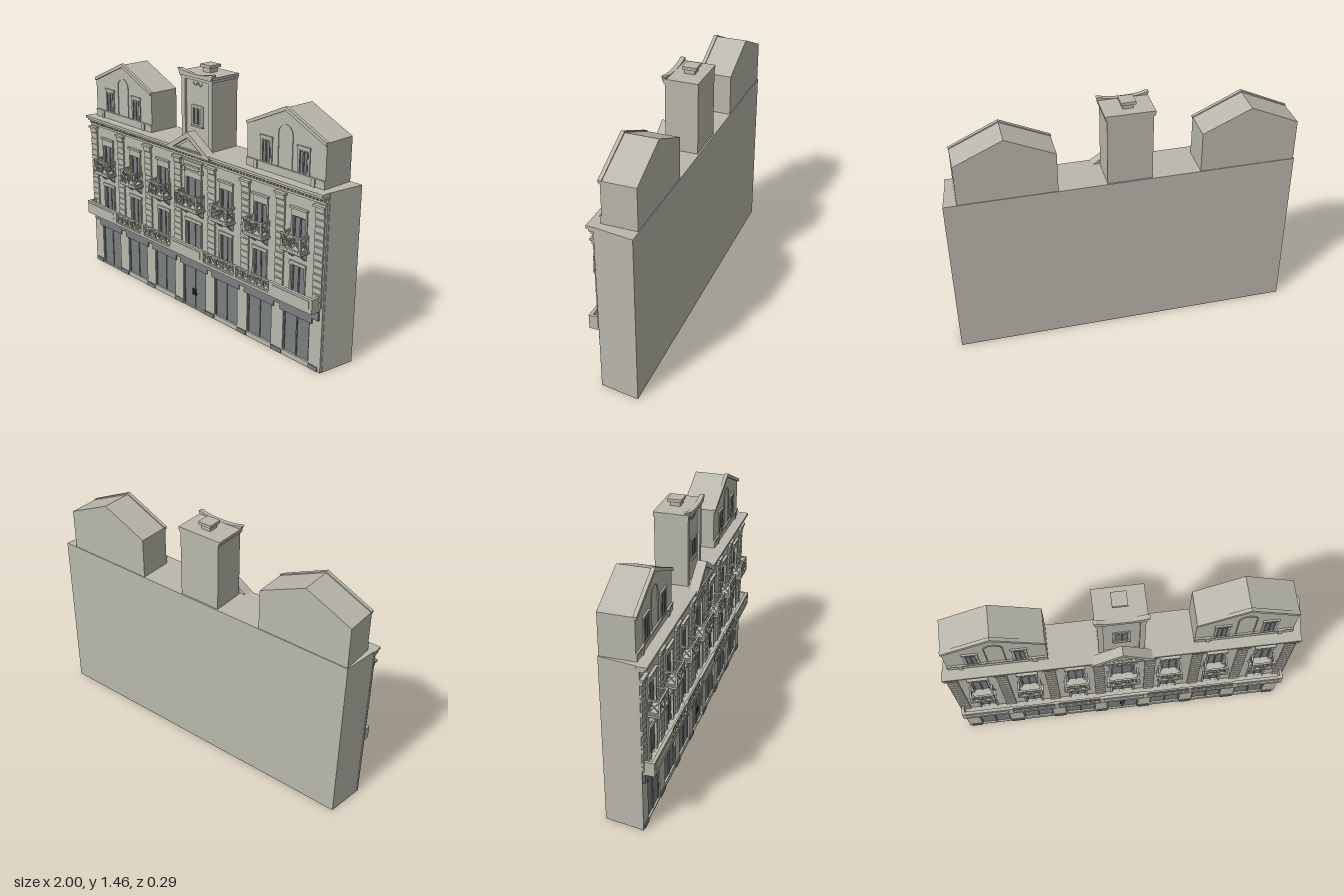
import * as THREE from 'three';

const stone = new THREE.MeshStandardMaterial({ color: 0xbab8ac });
stone.name = 'stone';
const glass = new THREE.MeshStandardMaterial({ color: 0x7a7e7e });
glass.name = 'greyGlass';
const iron = new THREE.MeshStandardMaterial({ color: 0x303232 });
iron.name = 'darkIron';

const MID = -0.017; // centre line of the facade
const WALL = 0.077; // front plane of the wall
const BAYS = [-0.824, -0.551, -0.284, MID, 0.253, 0.518, 0.791];
const PIERS = [-0.963, -0.69, -0.422, -0.15, 0.139, 0.406, 0.663, 0.93];

function add(parent, name, geometry, material = stone) {
  const mesh = new THREE.Mesh(geometry, material);
  mesh.name = name;
  parent.add(mesh);
  return mesh;
}

// box given by its limits
function box(parent, name, x0, x1, y0, y1, z0, z1, material = stone) {
  const mesh = add(parent, name, new THREE.BoxGeometry(x1 - x0, y1 - y0, z1 - z0), material);
  mesh.position.set((x0 + x1) / 2, (y0 + y1) / 2, (z0 + z1) / 2);
  return mesh;
}

function group(parent, name, x = 0, y = 0, z = 0) {
  const g = new THREE.Group();
  g.name = name;
  g.position.set(x, y, z);
  parent.add(g);
  return g;
}

const poly = (pts) => new THREE.Shape(pts.map(([x, y]) => new THREE.Vector2(x, y)));
const rect = (x0, x1, y0, y1) => poly([[x0, y0], [x1, y0], [x1, y1], [x0, y1]]);

// shape in the xy plane, pushed from z0 to z1
function slab(parent, name, shape, z0, z1, material = stone) {
  const geo = new THREE.ExtrudeGeometry(shape, { depth: z1 - z0, bevelEnabled: false, curveSegments: 10 });
  geo.translate(0, 0, z0);
  return add(parent, name, geo, material);
}

// balustrade panel with crossed bars, centred on its own x axis
function lattice(parent, width, y0, y1, cells, x = 0, z = 0, turn = 0) {
  const g = group(parent, 'latticeRailing', x, 0, z);
  g.rotation.y = turn;
  const h = width / 2, t = 0.005, step = width / cells;
  box(g, 'topRail', -h, h, y1 - 0.009, y1, -t, t);
  box(g, 'bottomRail', -h, h, y0, y0 + 0.008, -t, t);
  const len = Math.hypot(step, y1 - y0 - 0.016), angle = Math.atan2(y1 - y0 - 0.016, step);
  for (let i = 0; i <= cells; i++) {
    const px = -h + i * step;
    box(g, 'post', px - 0.003, px + 0.003, y0, y1, -t, t);
    if (i === cells) break;
    for (const s of [-1, 1]) {
      const bar = add(g, 'crossBar', new THREE.BoxGeometry(len, 0.005, 0.006));
      bar.position.set(px + step / 2, (y0 + y1) / 2, 0);
      bar.rotation.z = s * angle;
    }
  }
}

// glazed opening: pane, frame bars and optional raised stone surround
function glazing(parent, x, half, y0, y1, z, surround) {
  const g = group(parent, 'window', x);
  box(g, 'pane', -half, half, y0, y1, z - 0.004, z, glass);
  for (const s of [-1, 0, 1]) {
    const c = s * (half - 0.004);
    box(g, 'frameBar', c - 0.004, c + 0.004, y0, y1, z, z + 0.005, glass);
  }
  box(g, 'frameHead', -half, half, y1 - 0.008, y1, z, z + 0.005, glass);
  if (surround) {
    const s = rect(-half - 0.01, half + 0.01, y0 - 0.01, y1 + 0.012);
    s.holes.push(rect(-half, half, y0, y1));
    slab(g, 'surround', s, z - 0.002, surround);
  }
}

function balcony(parent, x, half) {
  const g = group(parent, 'balcony', x);
  box(g, 'balconySlab', -half - 0.008, half + 0.008, 0.648, 0.66, WALL, 0.144);
  box(g, 'slabMoulding', -half, half, 0.64, 0.648, WALL, 0.135);
  lattice(g, half * 2, 0.66, 0.745, half > 0.08 ? 3 : 2, 0, 0.138);
  for (const s of [-1, 1]) {
    lattice(g, 0.061, 0.66, 0.745, 1, s * (half - 0.005), 0.108, Math.PI / 2);
    // curved bracket below the slab
    const c = new THREE.Shape();
    c.moveTo(-WALL, 0.64);
    c.lineTo(-0.13, 0.64);
    c.quadraticCurveTo(-0.1, 0.625, -WALL, 0.598);
    const holder = group(g, 'bracket', s * (half - 0.022));
    holder.rotation.y = Math.PI / 2;
    slab(holder, 'corbel', c, -0.012, 0.012);
  }
}

function atticHouse(parent, x) {
  const g = group(parent, 'atticHouse', x);
  const w = 0.272, eave = 1.238, ridge = 1.362;
  slab(g, 'houseBody', poly([[-w, 0.998], [w, 0.998], [w, eave], [0, ridge], [-w, eave]]), -0.14, 0.05);
  slab(g, 'gableTrim', poly([[-w, eave - 0.014], [0, ridge - 0.014], [w, eave - 0.014],
    [w + 0.003, eave + 0.004], [0, ridge + 0.008], [-w - 0.003, eave + 0.004]]), 0.04, 0.06);
  box(g, 'baseLedge', -w, w, 0.998, 1.04, 0.05, 0.056);
  box(g, 'baseLedgeCap', -w, w, 1.036, 1.045, 0.05, 0.06);
  for (const s of [-1, 1]) {
    glazing(g, s * 0.129, 0.031, 1.05, 1.17, 0.053, 0.056);
    box(g, 'windowHood', s * 0.129 - 0.045, s * 0.129 + 0.045, 1.182, 1.19, 0.05, 0.06);
    box(g, 'ledgePost', s * 0.2 - 0.012, s * 0.2 + 0.012, 1, 1.045, 0.05, 0.063);
  }
  // blind arch between the windows
  const arch = (r) => {
    const p = new THREE.Shape();
    p.moveTo(-r, 1.045);
    p.lineTo(r, 1.045);
    p.lineTo(r, 1.225);
    p.absarc(0, 1.225, r, 0, Math.PI, false);
    p.lineTo(-r, 1.045);
    return p;
  };
  const ring = arch(0.052);
  ring.holes.push(arch(0.046));
  slab(g, 'blindArch', ring, 0.05, 0.054);
}

function tower(parent) {
  const g = group(parent, 'tower', MID);
  box(g, 'towerBody', -0.126, 0.126, 0.998, 1.39, -0.135, 0.042);
  for (const s of [-1, 1]) {
    box(g, 'cornerPilaster', s * 0.111 - 0.015, s * 0.111 + 0.015, 0.998, 1.39, 0.042, 0.054);
    const swag = add(g, 'swag', new THREE.TorusGeometry(0.016, 0.003, 5, 10, Math.PI));
    swag.rotation.z = Math.PI;
    swag.position.set(s * 0.02, 1.37, 0.044);
  }
  box(g, 'panelHead', -0.126, 0.126, 1.383, 1.395, 0.03, 0.056);
  glazing(g, 0, 0.037, 1.135, 1.23, 0.045, 0.049);
  box(g, 'windowSill', -0.048, 0.048, 1.118, 1.127, 0.042, 0.056);
  box(g, 'roofSlab', -0.132, 0.132, 1.39, 1.405, -0.137, 0.058);
  box(g, 'roofTop', -0.138, 0.138, 1.405, 1.419, -0.137, 0.06);
  // front crest with upturned corners
  const crest = new THREE.Shape();
  crest.moveTo(-0.125, 1.4);
  crest.lineTo(0.125, 1.4);
  crest.lineTo(0.145, 1.435);
  crest.lineTo(0.128, 1.437);
  crest.quadraticCurveTo(0.09, 1.42, 0, 1.42);
  crest.quadraticCurveTo(-0.09, 1.42, -0.128, 1.437);
  crest.lineTo(-0.145, 1.435);
  slab(g, 'roofCrest', crest, 0.04, 0.066);
  box(g, 'capNeck', -0.028, 0.028, 1.419, 1.445, -0.078, -0.02);
  box(g, 'capTop', -0.041, 0.041, 1.445, 1.462, -0.09, -0.009);
}

function pediment(parent) {
  const g = group(parent, 'pediment', MID);
  const frame = poly([[-0.178, 0.978], [0.178, 0.978], [0.178, 0.99], [0, 1.105], [-0.178, 0.99]]);
  frame.holes.push(poly([[-0.125, 0.995], [0.125, 0.995], [0, 1.073]]));
  slab(g, 'pedimentFrame', frame, 0.068, 0.125);
  slab(g, 'tympanum', poly([[-0.14, 0.985], [0.14, 0.985], [0, 1.085]]), 0.07, 0.108);
  slab(g, 'innerTriangle', poly([[-0.09, 1.003], [0.09, 1.003], [0, 1.058]]), 0.1, 0.114);
  // carved plaque under the pediment
  box(g, 'plaque', -0.075, 0.075, 0.872, 0.925, WALL, 0.088);
  box(g, 'plaqueTop', -0.085, 0.085, 0.922, 0.93, WALL, 0.095);
  box(g, 'plaqueBand', -0.06, 0.06, 0.893, 0.903, 0.08, 0.094);
  for (const s of [-1, 1]) box(g, 'plaqueFoot', s * 0.07 - 0.012, s * 0.07 + 0.012, 0.86, 0.885, WALL, 0.094);
}

export function createModel() {
  const model = new THREE.Group();
  model.name = 'townHouse';

  // main block with slanted party walls
  const plan = (z0, z1) => {
    const l = (z) => -0.966 - (z + 0.144) * 0.14, r = (z) => 0.999 - (z + 0.144) * 0.14;
    return poly([[l(z0), -z0], [r(z0), -z0], [r(z1), -z1], [l(z1), -z1]]);
  };
  const flat = (name, y0, y1, z0, z1, mat) => {
    slab(model, name, plan(z1, z0), y0, y1, mat).rotation.x = -Math.PI / 2;
  };
  flat('mainBlock', 0.003, 1, -0.144, 0.062);
  flat('underside', 0, 0.003, -0.144, WALL, glass);

  // facade layer with all openings cut through
  const wall = rect(-0.997, 0.968, 0.003, 1);
  const bays = group(model, 'bays');
  BAYS.forEach((x, i) => {
    const mid = i === 3, door = mid || i === 0;
    const half = mid ? 0.062 : 0.045, shop = mid ? 0.098 : 0.093;
    const openings = [[shop, door ? 0.008 : 0.03, 0.272], [half, 0.372, 0.555], [half, 0.66, 0.825]];
    for (const [h, y0, y1] of openings) {
      wall.holes.push(rect(x - h, x + h, y0, y1));
      glazing(bays, x, h, y0, y1, 0.066);
    }
    for (const s of [-1, 1]) {
      const c = x + s * (half + 0.005);
      box(bays, 'jamb', c - 0.005, c + 0.005, 0.37, 0.56, WALL, 0.083);
      box(bays, 'jamb', c - 0.005, c + 0.005, 0.66, 0.83, WALL, 0.083);
    }
    box(bays, 'lowerHood', x - half - 0.012, x + half + 0.012, 0.556, 0.575, WALL, 0.086);
    box(bays, 'upperHead', x - half - 0.008, x + half + 0.008, 0.826, 0.865, WALL, 0.084);
    box(bays, 'upperHood', x - half - 0.014, x + half + 0.014, 0.865, 0.876, WALL, 0.093);
    box(bays, 'shutterBox', x - shop - 0.02, x + shop + 0.02, 0.268, 0.302, WALL, 0.084, glass);
    balcony(bays, x, mid ? 0.09 : 0.066);
  });
  slab(model, 'facade', wall, 0.062, WALL);
  for (const s of [-1, 1]) {
    const c = MID + s * 0.011;
    box(model, 'doorHandle', c - 0.003, c + 0.003, 0.09, 0.13, 0.07, 0.078, iron);
  }

  // dark plinth between the shop openings
  const edges = [-0.985, ...BAYS.flatMap((x) => [x - 0.098, x + 0.098]), 0.95];
  for (let i = 0; i < edges.length; i += 2)
    box(model, 'plinth', edges[i], edges[i + 1], 0.003, 0.028, WALL, 0.083, glass);

  // shop fascia and the long first floor balcony
  box(model, 'fascia', -0.985, 0.95, 0.3, 0.357, WALL, 0.087, glass);
  box(model, 'longBalconyFloor', -0.985, 0.95, 0.355, 0.371, WALL, 0.14);
  for (const [a, b] of [[-0.985, -0.69], [-0.155, 0.125], [0.655, 0.95]]) {
    box(model, 'parapet', a, b, 0.371, 0.437, 0.122, 0.14);
    box(model, 'parapetPanel', a + 0.02, b - 0.02, 0.383, 0.425, 0.14, 0.143);
  }
  for (const x of [-0.557, -0.283, 0.255, 0.521]) {
    lattice(model, 0.255, 0.371, 0.437, 5, x, 0.131);
    for (const s of [-1, 1]) box(model, 'parapetPost', x + s * 0.132 - 0.008, x + s * 0.132 + 0.008, 0.371, 0.437, 0.122, 0.14);
  }
  for (const x of [-0.977, 0.942]) box(model, 'parapetReturn', x - 0.008, x + 0.008, 0.371, 0.437, WALL, 0.122);

  // banded pilasters with capitals
  PIERS.forEach((x) => {
    const g = group(model, 'pilaster', x);
    box(g, 'shaft', -0.027, 0.027, 0.371, 0.9, WALL, 0.081);
    for (let i = 0; i < 14; i++) box(g, 'band', -0.03, 0.03, 0.376 + i * 0.037, 0.405 + i * 0.037, WALL, 0.086);
    box(g, 'capital', -0.03, 0.03, 0.892, 0.918, WALL, 0.092);
    box(g, 'abacus', -0.038, 0.038, 0.918, 0.93, WALL, 0.1);
  });

  // cornice with dentils
  box(model, 'architrave', -0.995, 0.966, 0.938, 0.95, WALL, 0.084);
  box(model, 'corniceBed', -0.997, 0.966, 0.97, 0.985, WALL, 0.104);
  box(model, 'corniceTop', -1, 0.968, 0.985, 1, 0.06, 0.117);
  for (let i = 0; i < 80; i++) {
    const x = -0.988 + i * 0.0245;
    box(model, 'dentil', x, x + 0.013, 0.955, 0.97, WALL, 0.095);
  }

  pediment(model);
  tower(model);
  atticHouse(model, -0.69);
  atticHouse(model, 0.653);
  return model;
}
